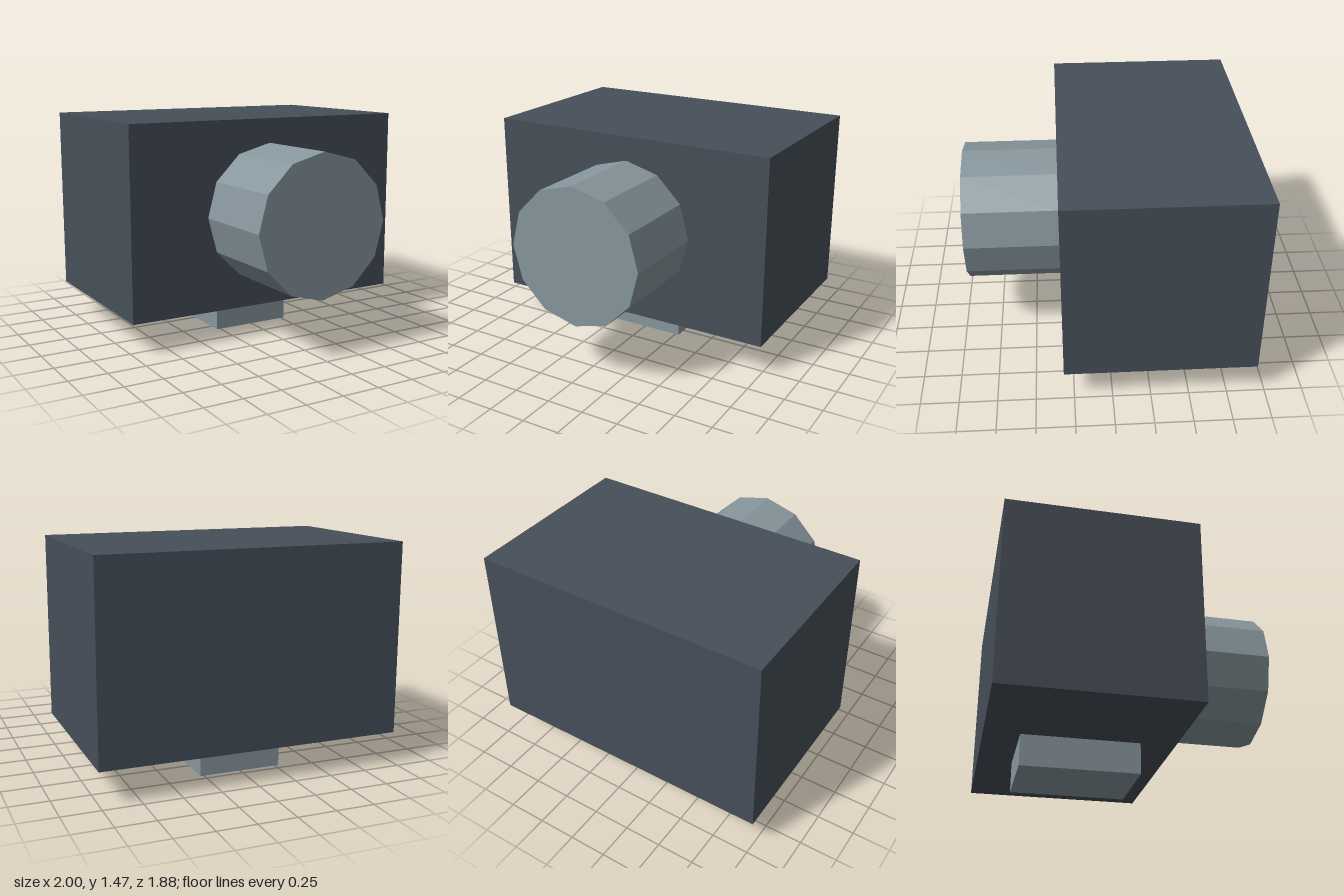
import * as THREE from 'three';

export function createModel() {
  const model = new THREE.Group();
  model.name = 'camera';

  const darkSlate = new THREE.MeshStandardMaterial({ color: 0x464f59, flatShading: true });
  darkSlate.name = 'dark slate';
  const paleSteel = new THREE.MeshStandardMaterial({ color: 0x87969d, flatShading: true });
  paleSteel.name = 'pale steel';

  const add = (name, geometry, material, x, y, z) => {
    const mesh = new THREE.Mesh(geometry, material);
    mesh.name = name;
    mesh.position.set(x, y, z);
    model.add(mesh);
  };

  // Main housing
  add('body', new THREE.BoxGeometry(2, 1.255, 1.255), darkSlate, 0, 0.8375, -0.3125);

  // Twelve-sided barrel pointing forward
  const barrel = new THREE.CylinderGeometry(0.463, 0.463, 0.625, 12).rotateX(Math.PI / 2);
  add('lens', barrel, paleSteel, 0, 0.84, 0.6275);

  // Mounting block under the housing
  add('foot', new THREE.BoxGeometry(0.55, 0.21, 0.785), paleSteel, 0, 0.105, -0.3125);

  return model;
}
